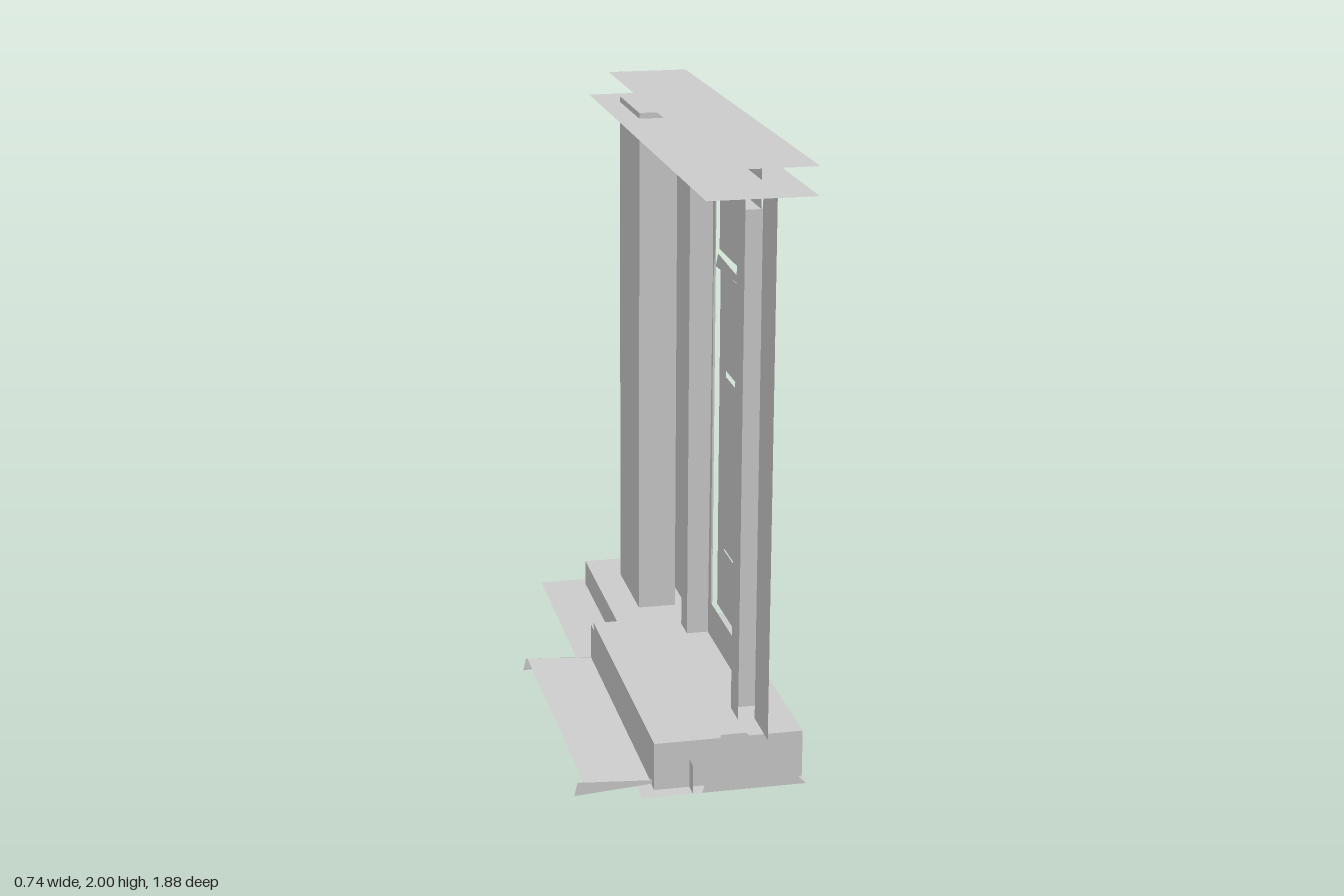
import * as THREE from 'three';

const mat = new THREE.MeshStandardMaterial({ color: 0xcccccc, side: THREE.DoubleSide, flatShading: true });

export function createModel() {
  const root = new THREE.Group();
  const add = (name, geo) => {
    const m = new THREE.Mesh(geo, mat);
    m.name = name;
    root.add(m);
    return m;
  };
  // Thin rectangles lying square to one axis
  const sheetX = (name, x, z0, z1, y0, y1) =>
    add(name, new THREE.PlaneGeometry(z1 - z0, y1 - y0).rotateY(Math.PI / 2).translate(x, (y0 + y1) / 2, (z0 + z1) / 2));
  const sheetY = (name, y, x0, x1, z0, z1) =>
    add(name, new THREE.PlaneGeometry(x1 - x0, z1 - z0).rotateX(-Math.PI / 2).translate((x0 + x1) / 2, y, (z0 + z1) / 2));
  const sheetZ = (name, z, x0, x1, y0, y1) =>
    add(name, new THREE.PlaneGeometry(x1 - x0, y1 - y0).translate((x0 + x1) / 2, (y0 + y1) / 2, z));
  const points = list => list.map(([a, b]) => new THREE.Vector2(a, b));
  // Outline in (z, y), with holes, facing +x
  const outlineX = (name, x, pts, holes = []) => {
    const s = new THREE.Shape(points(pts.map(([z, y]) => [-z, y])));
    for (const h of holes) s.holes.push(new THREE.Path(points(h.map(([z, y]) => [-z, y]))));
    return add(name, new THREE.ShapeGeometry(s).rotateY(Math.PI / 2).translate(x, 0, 0));
  };

  // Roof slabs
  sheetY('upperCornice', 2.0, 0.085, 0.37, -0.83, 0.94);
  sheetY('lowerCornice', 1.91, 0.025, 0.37, -0.89, 0.94);

  // Wall sheets either side of the doorway
  sheetX('frontWall', 0.24, 0.78, 0.945, 0.165, 1.91);
  sheetX('middleWall', 0.24, -0.39, -0.04, 0.165, 1.91);

  // Door casings, their reveals and the header
  for (const [z0, z1, reveal] of [[0.685, 0.78, 0.685], [-0.04, 0.05, 0.05]]) {
    sheetX('doorCasing', 0.185, z0, z1, 0.165, 1.91);
    sheetZ('doorReveal', reveal, 0.185, 0.275, 0.165, 1.82);
  }
  sheetX('doorHeader', 0.185, 0.05, 0.685, 1.82, 1.91);
  sheetY('headerSoffit', 1.82, 0.185, 0.275, 0.05, 0.685);

  // Door frame board with transom opening, slightly crooked on one side
  outlineX('doorFrame', 0.26,
    [[0.685, 0.165], [0.685, 2.0], [0.05, 2.0], [0.055, 1.79], [0.07, 1.49], [0.07, 1.41], [0.05, 0.165]],
    [[[0.64, 0.29], [0.09, 0.29], [0.08, 1.41], [0.085, 1.49], [0.1, 1.54], [0.1, 1.795], [0.64, 1.795]]]);
  outlineX('transomBar', 0.27, [[0.62, 1.515], [0.1, 1.54], [0.07, 1.49]]);
  sheetX('transomPane', 0.27, 0.12, 0.62, 1.56, 1.77);

  // Door leaf and its window
  outlineX('door', 0.283, [[0.645, 0.285], [0.645, 1.49], [0.085, 1.485], [0.09, 0.285]],
    [[[0.575, 0.515], [0.18, 0.515], [0.175, 1.155], [0.565, 1.15]]]);
  outlineX('doorPane', 0.278, [[0.56, 0.53], [0.555, 1.135], [0.19, 1.14], [0.195, 0.53]]);

  // Corner pilaster, open towards the inside, with its stepped return
  sheetX('pilasterFace', 0.105, -0.725, -0.385, 0.095, 1.93);
  sheetZ('pilasterFrontSide', -0.385, 0.105, 0.24, 0.095, 1.93);
  sheetZ('pilasterBackSide', -0.725, 0.105, 0.185, 0.095, 1.93);
  sheetY('pilasterCap', 1.93, 0.105, 0.24, -0.725, -0.385);
  sheetX('cornerReturn', 0.185, -0.79, -0.725, 0.18, 1.915);
  sheetZ('backWall', -0.79, 0.185, 0.37, 0.18, 1.915);

  // Ground slab and low plinth
  sheetY('groundSlab', 0, -0.165, 0.37, -0.94, 0.94);
  sheetX('plinthFace', 0, -0.89, 0.94, 0, 0.095);
  sheetZ('plinthEnd', -0.89, 0, 0.37, 0, 0.095);
  sheetY('plinthTop', 0.095, 0, 0.37, -0.89, -0.12);

  // Entrance platform
  add('platform', new THREE.BoxGeometry(0.485, 0.16, 1.01).translate(0.1275, 0.08, 0.385));

  // Sloping end piece at the front
  add('endPiece', new THREE.ShapeGeometry(new THREE.Shape(points([[0.03, 0], [0.37, 0], [0.17, 0.195], [0.09, 0.195]])))
    .translate(0, 0, 0.94));

  // Tilted lower step with a small front lip
  const step = sheetY('lowerStep', 0, -0.355, -0.12, -0.12, 0.88);
  const p = step.geometry.attributes.position;
  for (let i = 0; i < p.count; i++) {
    p.setY(i, p.getX(i) < -0.2 ? 0.045 : 0.028);
    if (p.getX(i) < -0.2 && p.getZ(i) > 0) p.setX(i, -0.34);
  }
  step.geometry.computeVertexNormals();
  for (const z of [-0.12, 0.88]) {
    add('stepEnd', new THREE.ShapeGeometry(new THREE.Shape(points([[-0.37, 0], [-0.12, 0.018], [-0.12, 0.03], [-0.36, 0.045]])))
      .translate(0, 0, z));
  }
  sheetX('stepRiser', -0.125, -0.12, 0.88, 0.02, 0.155);

  return root;
}
